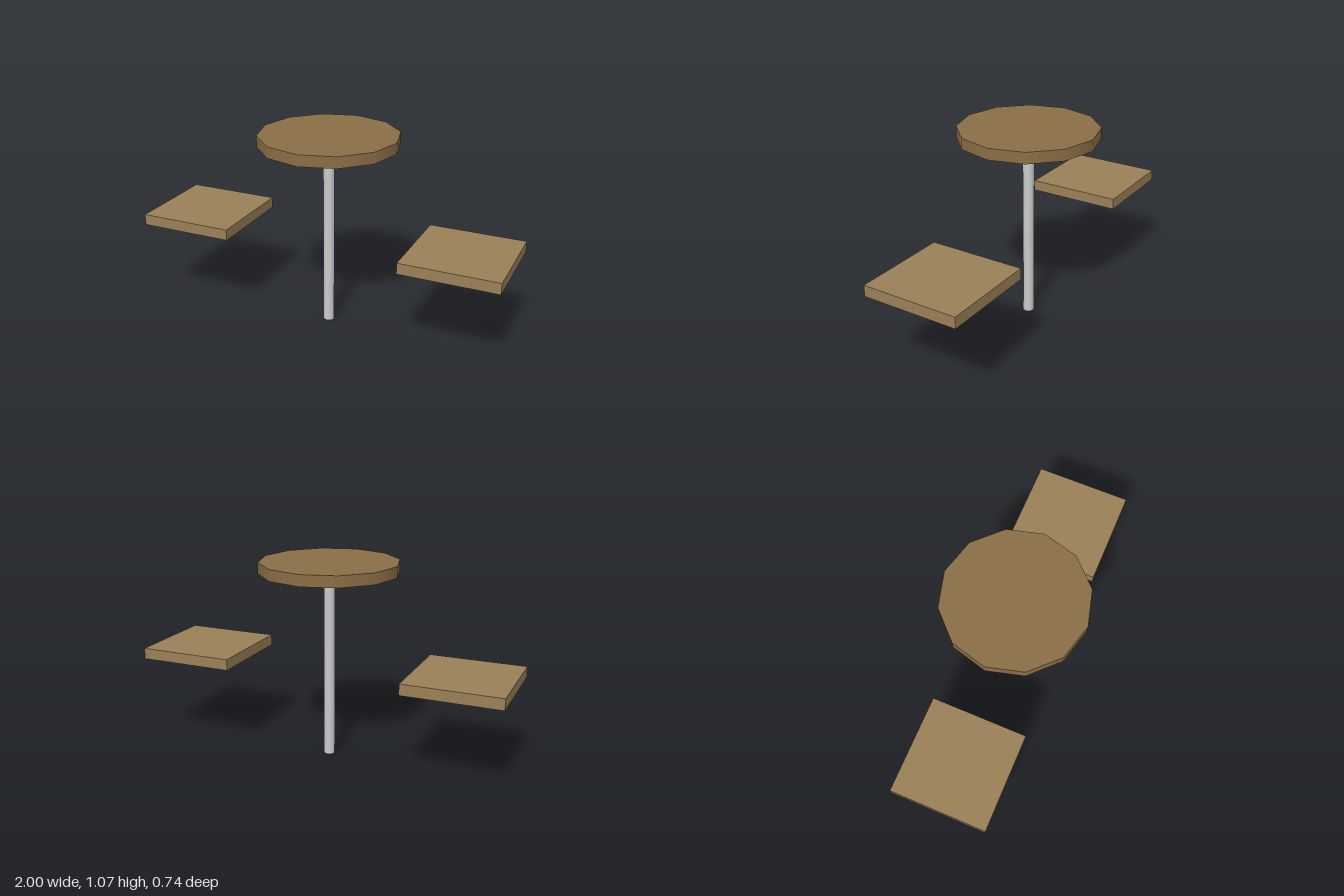
import * as THREE from 'three';

export function createModel() {
  const group = new THREE.Group();
  const metal = new THREE.MeshStandardMaterial({ color: 0xcccccc });
  const topWood = new THREE.MeshStandardMaterial({ color: 0x8b6f47 });
  const seatWood = new THREE.MeshStandardMaterial({ color: 0x9a8058 });

  const add = (name, geometry, material, x, y) => {
    const mesh = new THREE.Mesh(geometry, material);
    mesh.name = name;
    mesh.position.set(x, y, 0);
    group.add(mesh);
  };

  // Round twelve-sided table top on a single slim post
  add('tableTop', new THREE.CylinderGeometry(0.37, 0.37, 0.06, 12), topWood, 0, 1.04);
  add('post', new THREE.CylinderGeometry(0.03, 0.03, 1.01, 12), metal, 0, 0.505);

  // Matching square seats on either side
  for (const [name, side] of [['leftSeat', 1], ['rightSeat', -1]]) {
    add(name, new THREE.BoxGeometry(0.52, 0.06, 0.52), seatWood, side * 0.74, 0.52);
  }

  return group;
}
